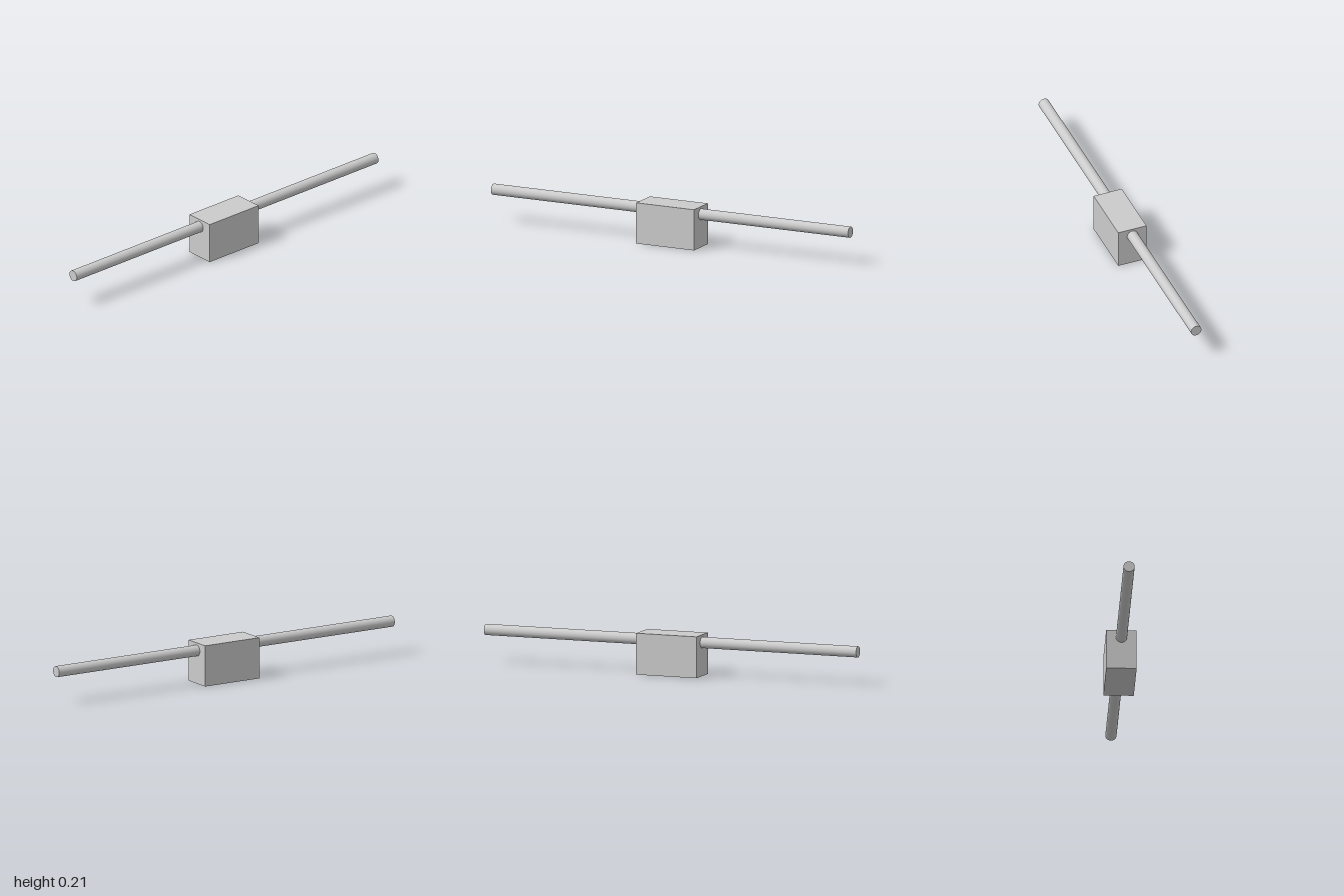
import * as THREE from 'three';

export function createModel() {
  const model = new THREE.Group();
  const material = new THREE.MeshStandardMaterial({ color: 0xcccccc });

  // Block hanging around the rod
  const height = 0.209;
  const block = new THREE.Mesh(new THREE.BoxGeometry(0.152, height, 0.324), material);
  block.name = 'block';
  block.position.y = height / 2;
  model.add(block);

  // Round rod running through the upper part of the block, front to back
  const rod = new THREE.Mesh(new THREE.CylinderGeometry(0.028, 0.028, 2, 48), material);
  rod.name = 'rod';
  rod.rotation.x = Math.PI / 2;
  rod.position.y = 0.17;
  model.add(rod);

  return model;
}
